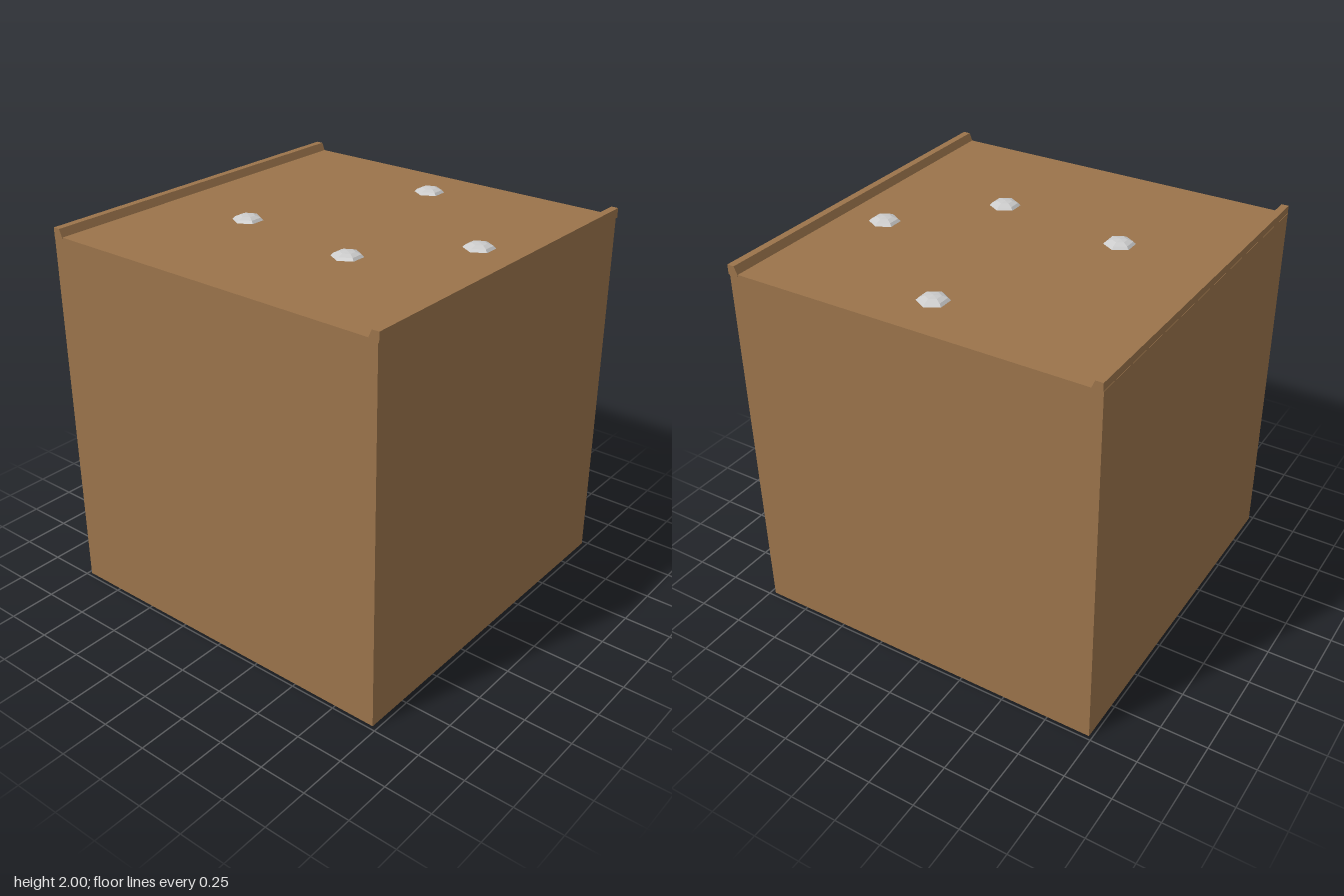
import * as THREE from 'three';

export function createModel() {
  const group = new THREE.Group();
  const brown = new THREE.MeshStandardMaterial({ color: 0x9b744b, flatShading: true });
  const grey = new THREE.MeshStandardMaterial({ color: 0xcccccc, flatShading: true });
  const topY = 1.96;

  const add = (name, geometry, material, x, y, z) => {
    const mesh = new THREE.Mesh(geometry, material);
    mesh.name = name;
    mesh.position.set(x, y, z);
    group.add(mesh);
  };

  // Solid ground block
  add('groundBlock', new THREE.BoxGeometry(1.957, topY, 1.96), brown, -0.004, topY / 2, 0);

  // Raised edge strips with a sloping inner face
  const rail = (name, side) => {
    const profile = new THREE.Shape([
      [0.981, -0.01], [0.981, 0.04], [0.943, 0.04], [0.926, 0], [0.926, -0.01],
    ].map(([x, y]) => new THREE.Vector2(side * x, y)));
    const geometry = new THREE.ExtrudeGeometry(profile, { depth: 1.964, bevelEnabled: false });
    add(name, geometry, brown, 0, topY, -0.982);
  };
  rail('leftRail', 1);
  rail('rightRail', -1);

  // Low six-sided pebbles half sunk in the ground
  const dome = new THREE.LatheGeometry(
    [[0.079, -0.005], [0.079, 0], [0.066, 0.013], [0.038, 0.023], [0, 0.027]]
      .map(([r, y]) => new THREE.Vector2(r, y)), 6);
  [[0.02, -0.71], [0.7, -0.155], [-0.42, 0.225], [0.29, 0.32]].forEach(([x, z], i) =>
    add(`pebble${i + 1}`, dome, grey, x, topY, z));

  return group;
}
